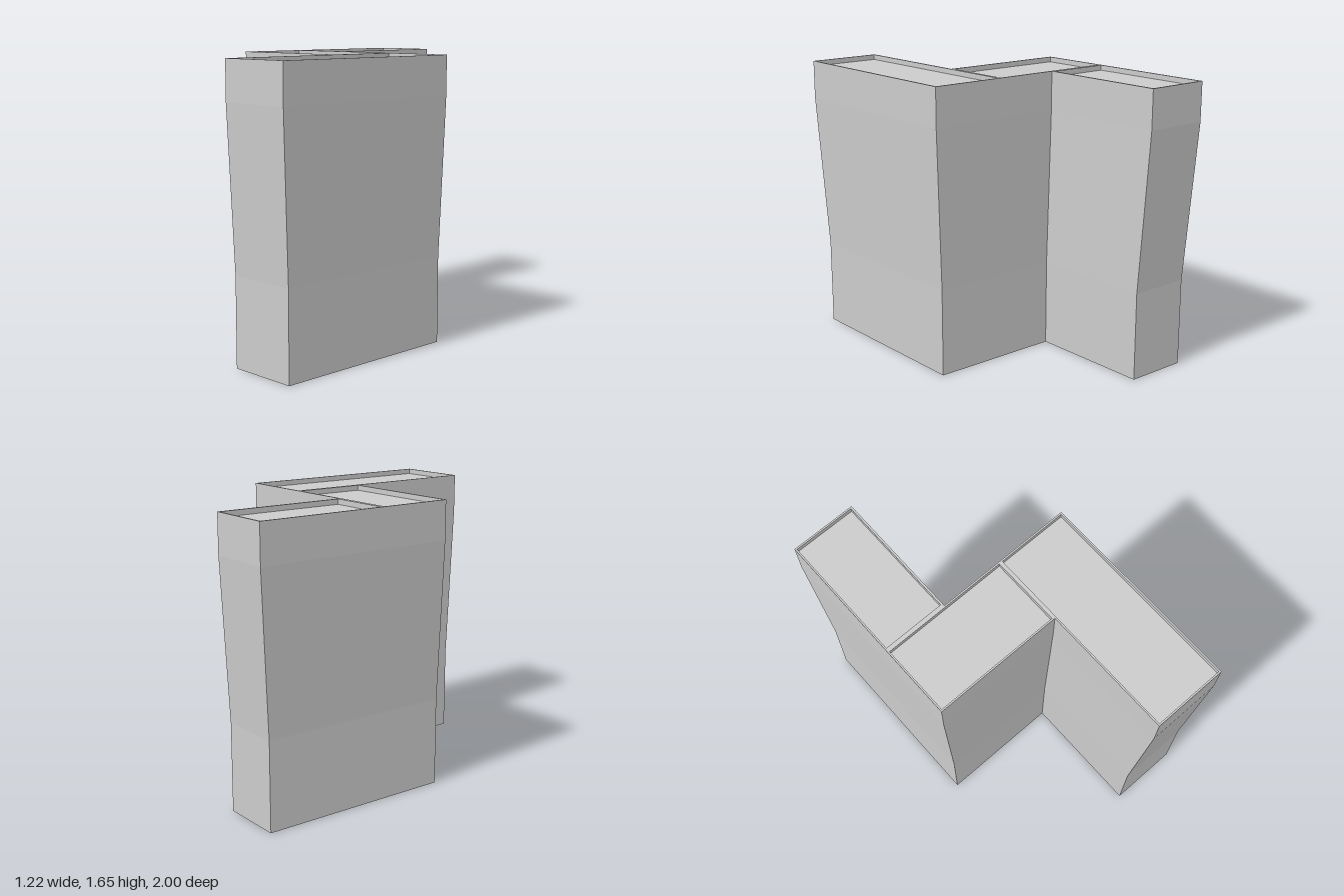
import * as THREE from 'three';

const HEIGHT = 1.655, PARAPET = 0.03;

// Plan points are given as [x, z]; the shape is laid flat afterwards
const points = (plan) => plan.map(([x, z]) => new THREE.Vector2(x, -z));

// Z-shaped footprint at full width
const OUTLINE = [
  [-0.61, -1], [-0.22, -1], [-0.22, -0.222], [0.61, -0.222],
  [0.61, 1], [0.167, 1], [0.167, 0.215], [-0.61, 0.215],
];

// Roof recesses: x0, x1, z0, z1
const ROOFS = [
  [-0.6, -0.232, -0.99, -0.238],
  [-0.6, 0.155, -0.212, 0.205],
  [0.177, 0.6, -0.212, 0.99],
];

function extrudeUp(shape, depth, steps) {
  const geo = new THREE.ExtrudeGeometry(shape, { depth, steps, bevelEnabled: false });
  return geo.rotateX(-Math.PI / 2);
}

export function createModel() {
  const group = new THREE.Group();
  group.name = 'building';
  const material = new THREE.MeshStandardMaterial({ color: 0xcccccc, flatShading: true });

  // Body: straight base, flaring middle, straight top
  const levels = [0, 0.51, 1.43, HEIGHT - PARAPET];
  const scales = [0.945, 0.945, 1, 1];
  const body = extrudeUp(new THREE.Shape(points(OUTLINE)), 3, 3);
  const pos = body.attributes.position;
  for (let i = 0; i < pos.count; i++) {
    const k = Math.round(pos.getY(i));
    pos.setXYZ(i, pos.getX(i) * scales[k], levels[k], pos.getZ(i) * scales[k]);
  }
  body.computeVertexNormals();
  const bodyMesh = new THREE.Mesh(body, material);
  bodyMesh.name = 'towerBody';
  group.add(bodyMesh);

  // Thin parapet around the three roof areas
  const rim = new THREE.Shape(points(OUTLINE));
  for (const [x0, x1, z0, z1] of ROOFS) {
    rim.holes.push(new THREE.Path(points([[x0, z0], [x0, z1], [x1, z1], [x1, z0]])));
  }
  const parapet = new THREE.Mesh(extrudeUp(rim, PARAPET, 1), material);
  parapet.position.y = HEIGHT - PARAPET;
  parapet.name = 'roofParapet';
  group.add(parapet);

  return group;
}
